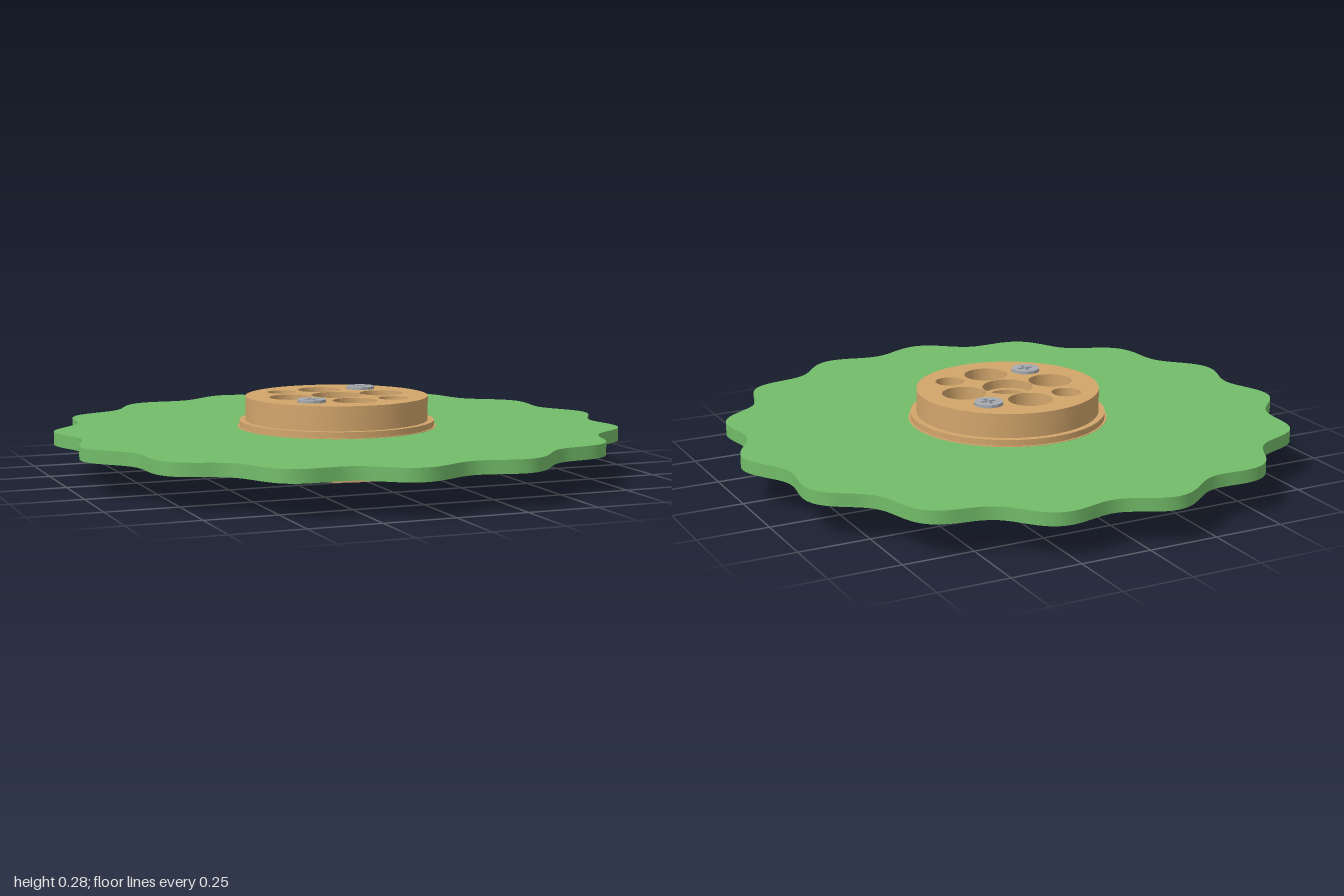
import * as THREE from 'three';
import { toCreasedNormals } from 'three/addons/utils/BufferGeometryUtils.js';

const CX = -0.0095, CY = 0.142; // hub centre
const green = new THREE.MeshStandardMaterial({ color: 0x72bc69 });
const tan = new THREE.MeshStandardMaterial({ color: 0xd2a56b });
const steel = new THREE.MeshStandardMaterial({ color: 0xa6abb0 });

const circle = (r, x = 0, z = 0, type = THREE.Shape) =>
  new type().absarc(x, -z, r, 0, Math.PI * 2, false);
const hole = (r, x, z) => circle(r, x, z, THREE.Path);

// Horizontal plate between two heights, with holes through it
function plate(name, shape, holes, y0, y1, material, bevel = 0) {
  shape.holes.push(...holes);
  const geo = new THREE.ExtrudeGeometry(shape, {
    depth: y1 - y0, curveSegments: 48, bevelEnabled: bevel > 0,
    bevelSize: bevel, bevelThickness: bevel, bevelOffset: -bevel, bevelSegments: 2,
  });
  geo.rotateX(-Math.PI / 2).translate(0, y0, 0);
  const mesh = new THREE.Mesh(toCreasedNormals(geo, 0.5), material);
  mesh.name = name;
  return mesh;
}

// Plate outline with fifteen rounded lobes
function wavyShape() {
  const pts = [];
  for (let i = 0; i < 360; i++) {
    const a = (i / 360) * Math.PI * 2;
    const r = 0.971 + 0.0335 * Math.cos(15 * a);
    pts.push(new THREE.Vector2(r * Math.cos(a), r * Math.sin(a)));
  }
  return new THREE.Shape(pts);
}

// Centre bore, four lightening holes and four screw holes
function hubHoles(bore, screw) {
  const list = [hole(bore, 0, 0)];
  for (const s of [-1, 1]) {
    list.push(hole(0.078, s * 0.173, 0), hole(0.078, 0, s * 0.173));
    for (const t of [-1, 1]) list.push(hole(screw, s * 0.154, t * 0.154));
  }
  return list;
}

// Screw with a cross recess in its head
function makeScrew() {
  const screw = new THREE.Group();
  screw.name = 'screw';
  const a = 0.008, b = 0.029;
  const cross = new THREE.Path([
    [a, a], [a, b], [-a, b], [-a, a], [-b, a], [-b, -a],
    [-a, -a], [-a, -b], [a, -b], [a, -a], [b, -a], [b, a],
  ].map(([x, y]) => new THREE.Vector2(x, y)));
  screw.add(plate('screwHead', circle(0.05), [cross], 0.1, 0.142, steel));
  const shank = new THREE.Mesh(new THREE.CylinderGeometry(0.031, 0.031, 0.18, 32), steel);
  shank.name = 'screwShank';
  shank.position.y = 0.03;
  screw.add(shank);
  return screw;
}

export function createModel() {
  const model = new THREE.Group();
  model.name = 'wavyWheel';
  const wheel = new THREE.Group();
  wheel.name = 'wheel';
  wheel.position.set(CX, CY, 0);
  model.add(wheel);

  wheel.add(plate('wavyDisc', wavyShape(), [hole(0.32, 0, 0)], -0.023, 0.023, green));
  wheel.add(plate('hubCore', circle(0.326), hubHoles(0.068, 0.032), -0.1, 0.1, tan));
  wheel.add(plate('discRim', circle(0.355), [hole(0.32, 0, 0)], -0.0245, 0.0245, tan));

  // Hub caps with counterbores, and the flanges that clamp the disc
  for (const side of [1, -1]) {
    const half = new THREE.Group();
    half.name = side > 0 ? 'upperHub' : 'lowerHub';
    half.add(plate('hubCap', circle(0.326), hubHoles(0.09, 0.052), 0.1, 0.132, tan));
    half.add(plate('flange', circle(0.348), [hole(0.32, 0, 0)], 0.023, 0.046, tan));
    if (side < 0) half.rotation.x = Math.PI;
    wheel.add(half);
  }

  // Two screws from above on one diagonal, two from below on the other
  for (const s of [-1, 1]) {
    const top = makeScrew();
    top.position.set(s * 0.154, 0, -s * 0.154);
    const bottom = makeScrew();
    bottom.rotation.x = Math.PI;
    bottom.position.set(s * 0.154, 0, s * 0.154);
    wheel.add(top, bottom);
  }
  return model;
}
